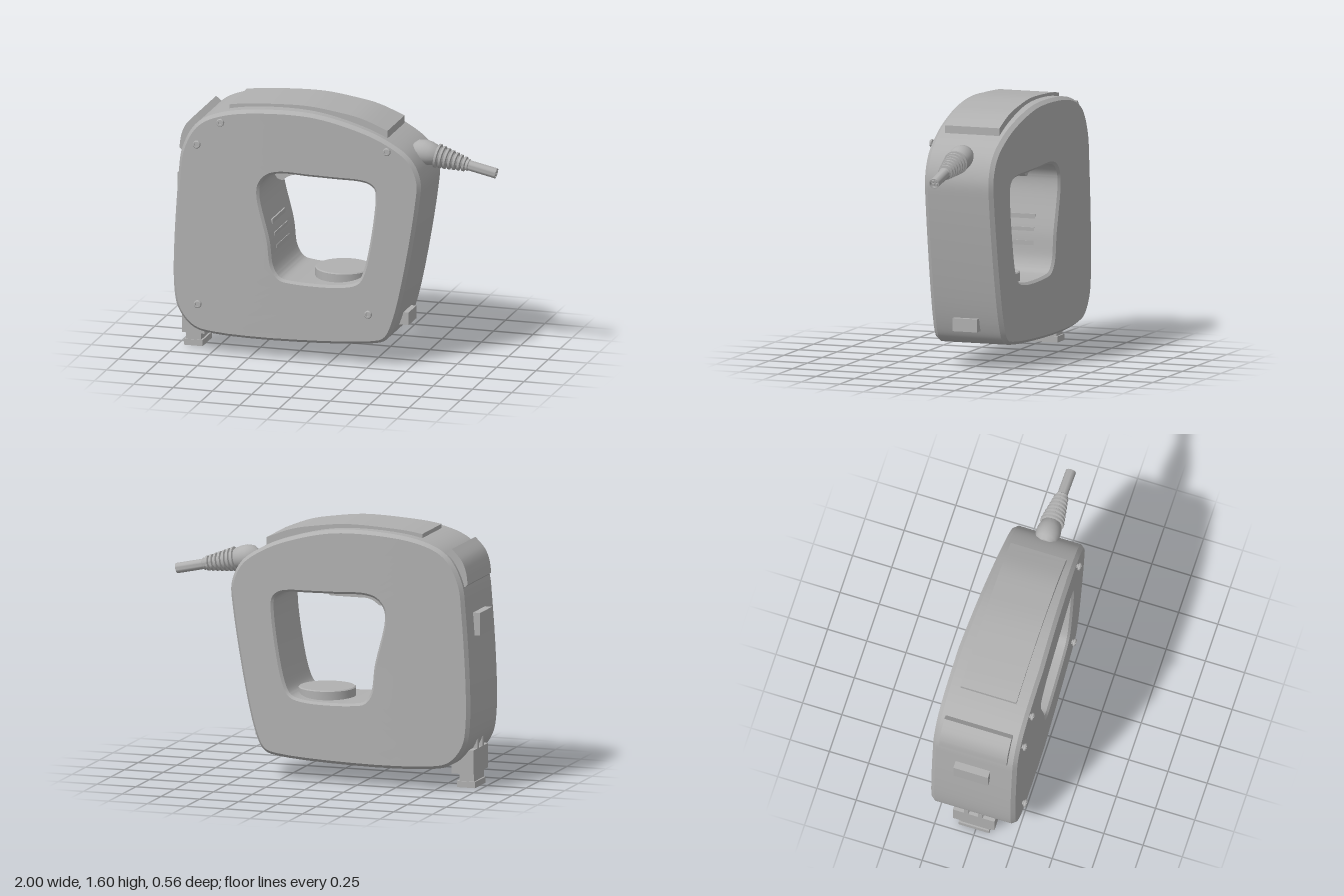
import * as THREE from 'three';
import { toCreasedNormals } from 'three/addons/utils/BufferGeometryUtils.js';

const grey = new THREE.MeshStandardMaterial({ color: 0xb0b0b0 });
grey.name = 'grey plastic';

function add(parent, name, geometry, x = 0, y = 0, z = 0) {
  const mesh = new THREE.Mesh(geometry, grey);
  mesh.name = name;
  mesh.position.set(x, y, z);
  parent.add(mesh);
  return mesh;
}

// Box given by its limits on each axis
function addBox(parent, name, [x0, x1], [y0, y1], [z0, z1]) {
  return add(parent, name, new THREE.BoxGeometry(x1 - x0, y1 - y0, z1 - z0),
    (x0 + x1) / 2, (y0 + y1) / 2, (z0 + z1) / 2);
}

const v2 = (list) => list.map(([x, y]) => new THREE.Vector2(x, y));
const loop = (list) => new THREE.CatmullRomCurve3(
  list.map(([x, y]) => new THREE.Vector3(x, y, 0)), true, 'centripetal');

// Outer outline and hole outline, paired corner by corner
const OUTER = [[-.72, .13], [.27, .145], [.36, .175], [.42, .29], [.565, 1.04], [.572, 1.2],
  [.51, 1.33], [.37, 1.43], [.17, 1.51], [-.15, 1.575], [-.64, 1.545], [-.83, 1.46],
  [-.925, 1.3], [-.953, 1.1], [-.98, .42], [-.95, .27], [-.86, .165]];
const HOLE = [[-.22, .49], [.1, .49], [.19, .52], [.235, .6], [.31, 1.06], [.3, 1.13],
  [.26, 1.165], [.2, 1.18], [.05, 1.185], [-.12, 1.19], [-.31, 1.195], [-.39, 1.17],
  [-.44, 1.11], [-.45, 1.03], [-.385, .75], [-.36, .58], [-.31, .51]];

// The body becomes thinner towards the cable side
const taper = (x) => THREE.MathUtils.clamp((x + 0.4) / 0.95, 0, 1);
const frontZ = (x) => 0.253 - 0.04 * taper(x);
const backZ = (x) => -0.283 + 0.05 * taper(x);

// Closed ring body: each section runs round the outer wall, front face, tunnel and back face
function bodyGeometry() {
  const outer = loop(OUTER), hole = loop(HOLE);
  const n = OUTER.length * 8, rings = 10;
  const positions = [], index = [];
  const inset = (curve, t, d) => {
    const p = curve.getPoint(t), g = curve.getTangent(t);
    return new THREE.Vector3(p.x - g.y * d, p.y + g.x * d, 0);
  };
  let rows = 0;
  for (let i = 0; i < n; i++) {
    const t = i / n;
    const o = outer.getPoint(t), oIn = inset(outer, t, 0.02);
    const h = hole.getPoint(t), wall = inset(hole, t, 0.015);
    const section = [];
    const put = (p, z) => section.push([p.x, p.y, z]);
    put(o, backZ(o.x) + 0.025);
    put(o, frontZ(o.x) - 0.025);
    for (let k = 0; k <= rings; k++) {
      const p = oIn.clone().lerp(h, k / rings);
      put(p, frontZ(p.x));
    }
    put(wall, frontZ(wall.x) - 0.015);
    put(wall, backZ(wall.x) + 0.015);
    for (let k = rings; k >= 0; k--) {
      const p = oIn.clone().lerp(h, k / rings);
      put(p, backZ(p.x));
    }
    rows = section.length;
    section.forEach((p) => positions.push(...p));
  }
  for (let i = 0; i < n; i++) {
    for (let j = 0; j < rows; j++) {
      const i2 = (i + 1) % n, j2 = (j + 1) % rows;
      const a = i * rows + j, b = i2 * rows + j, c = i2 * rows + j2, d = i * rows + j2;
      index.push(a, b, c, a, c, d);
    }
  }
  const g = new THREE.BufferGeometry();
  g.setAttribute('position', new THREE.Float32BufferAttribute(positions, 3));
  g.setIndex(index);
  return toCreasedNormals(g, 0.5);
}

// Side profile extruded across z
function slab(shape, z0, z1) {
  const g = new THREE.ExtrudeGeometry(shape, { depth: z1 - z0, bevelEnabled: false });
  g.translate(0, 0, z0);
  return toCreasedNormals(g, 0.4);
}

// Cover following a curved top line, with its underside sunk in the body
function cover(top, sink, z0, z1) {
  const line = new THREE.SplineCurve(v2(top)).getPoints(24);
  const under = line.map((p) => new THREE.Vector2(p.x + sink[0], p.y + sink[1])).reverse();
  return slab(new THREE.Shape([...line, ...under]), z0, z1);
}

const lathe = (points, sides) => toCreasedNormals(new THREE.LatheGeometry(v2(points), sides), 0.6);

export function createModel() {
  const model = new THREE.Group();
  model.name = 'handheldTool';
  add(model, 'body', bodyGeometry());

  // Raised covers on the outer wall
  add(model, 'topCover', cover([[-.65, 1.568], [-.5, 1.587], [-.18, 1.6], [.05, 1.575],
    [.2, 1.545], [.355, 1.485]], [0, -.06], -.195, .16));
  add(model, 'cornerCover', cover([[-.957, 1.28], [-.945, 1.36], [-.915, 1.43],
    [-.855, 1.495]], [.05, -.04], -.235, .195));
  addBox(model, 'sideButton', [-1, -.93], [.95, 1.09], [-.13, .09]);
  addBox(model, 'lowerCatch', [.36, .462], [.24, .32], [-.09, .07]);

  // Foot: block, neck and hollow base
  const foot = new THREE.Group();
  foot.name = 'foot';
  model.add(foot);
  addBox(foot, 'footBlock', [-.963, -.82], [.09, .24], [-.145, .12]);
  for (const z of [-.06, .03]) addBox(foot, 'footTab', [-.963, -.92], [.23, .3], [z - .015, z + .015]);
  const frame = (x0, x1, z0, z1, height) => {
    const rect = (m) => v2([[x0 + m, z0 + m], [x1 - m, z0 + m], [x1 - m, z1 - m], [x0 + m, z1 - m]]);
    const shape = new THREE.Shape(rect(0));
    shape.holes.push(new THREE.Path(rect(0.033)));
    return new THREE.ExtrudeGeometry(shape, { depth: height, bevelEnabled: false })
      .rotateX(-Math.PI / 2);
  };
  add(foot, 'footNeck', frame(-.95, -.855, -.08, .1, .06), 0, .035, 0);
  add(foot, 'footBase', frame(-.96, -.843, -.085, .11, .038));

  // Screws on the front face
  const screw = lathe([[.014, -.03], [.014, .008], [.024, .012], [.024, .022], [.02, .027],
    [.012, .027], [.012, .016], [0, .016]], 20);
  for (const [x, y] of [[-.674, 1.48], [-.824, 1.33], [.374, 1.374], [-.818, .32], [.257, .337]]) {
    add(model, 'screw', screw, x, y, frontZ(x)).rotation.x = Math.PI / 2;
  }

  // Cable with ribbed strain relief, built along y and then turned
  const cable = new THREE.Group();
  cable.name = 'cable';
  model.add(cable);
  const start = new THREE.Vector3(.46, 1.337, -.015), end = new THREE.Vector3(.994, 1.222, -.015);
  const length = start.distanceTo(end);
  cable.position.copy(start);
  cable.quaternion.setFromUnitVectors(new THREE.Vector3(0, 1, 0), end.clone().sub(start).normalize());
  const sleeve = [[0, 0], [.04, .006], [.065, .03], [.076, .07], [.074, .11], [.064, .15]];
  for (let k = 0; k < 7; k++) {
    const y = .155 + k * .029, r = .075 - k * .0048;
    sleeve.push([r - .014, y], [r, y + .004], [r, y + .017], [r - .014, y + .021]);
  }
  sleeve.push([.038, .365], [.033, .37]);
  add(cable, 'strainRelief', lathe(sleeve, 32));
  add(cable, 'cord', lathe([[.032, .3], [.032, length], [.025, length], [.025, length - .02],
    [0, length - .02]], 24));
  for (let k = 0; k < 4; k++) {
    const a = (k + .5) * Math.PI / 2;
    add(cable, 'wire', new THREE.CylinderGeometry(.009, .009, .03, 12),
      Math.cos(a) * .014, length - .016, Math.sin(a) * .014);
  }

  // Dial on the floor of the opening
  add(model, 'dial', lathe([[.165, -.03], [.175, -.03], [.175, .028], [.168, .034], [0, .034]], 48),
    .025, .522, -.015);

  // Trigger under the grip
  const trigger = new THREE.Shape();
  trigger.moveTo(-.4, 1.21);
  trigger.lineTo(-.39, 1.13);
  trigger.quadraticCurveTo(-.375, 1.085, -.335, 1.092);
  trigger.quadraticCurveTo(-.3, 1.128, -.25, 1.132);
  trigger.lineTo(-.03, 1.132);
  trigger.quadraticCurveTo(-.01, 1.135, -.01, 1.155);
  trigger.lineTo(-.01, 1.21);
  add(model, 'trigger', slab(trigger, -.1, .07));

  // Vent slats on the left wall of the opening
  for (const [x, y] of [[-.39, .84], [-.374, .76], [-.363, .68]]) {
    addBox(model, 'ventSlat', [x - .02, x + .004], [y - .014, y + .014], [-.14, .13]);
  }
  return model;
}
